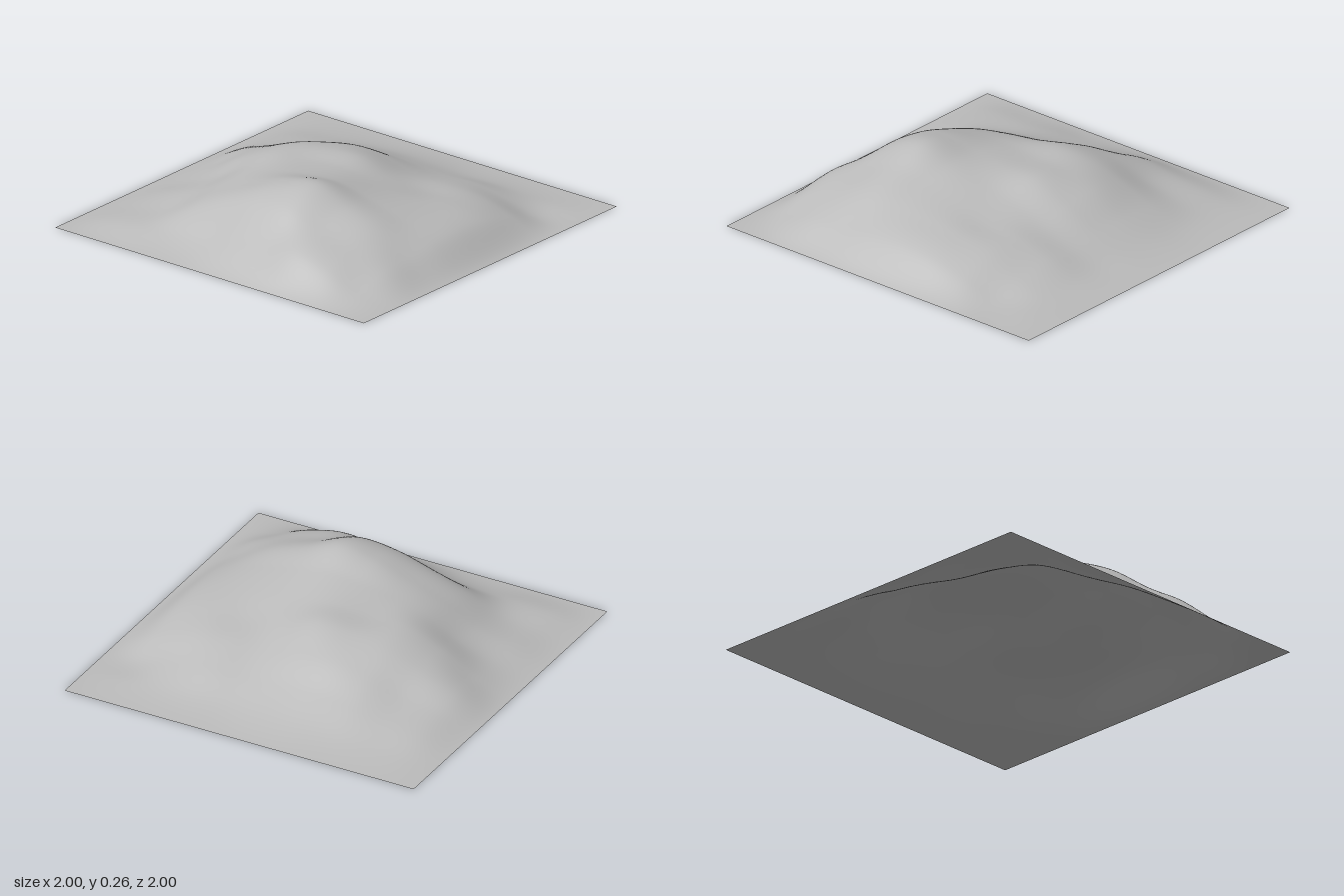
import * as THREE from 'three';

const SIDE = 1.423; // edge length of the square patch
const CELLS = 10;   // control cells per side; the border stays at ground level

// Hill heights in hundredths, inside the border: rows run back to front, columns left to right
const HEIGHTS = [
  [1, 1.5, 2, 2.5, 2.5, 2, 2, 1.5, 0.8],
  [3, 4.5, 7, 8, 7.5, 6.5, 7, 5, 1.5],
  [4.5, 7.5, 12.5, 15, 14, 11, 11, 10, 6],
  [6.5, 12, 17, 18.5, 19, 15, 13, 12.5, 9],
  [5, 12.5, 18, 18.5, 19.5, 18, 16, 14, 10],
  [3.5, 9, 16, 19, 21, 21.5, 18.5, 15, 9.5],
  [3.5, 7.5, 14, 19, 23.5, 25.5, 20.5, 15.5, 8],
  [2.5, 5, 11, 16, 20, 21, 16.5, 12.5, 7],
  [2, 3, 3.5, 5, 8, 10, 11.5, 8.5, 3],
];

const control = (row, col) => (HEIGHTS[row - 1]?.[col - 1] ?? 0) / 100;

// Smooth curve through four neighbouring values
function cubic(a, b, c, d, t) {
  return b + 0.5 * t * (c - a + t * (2 * a - 5 * b + 4 * c - d + t * (3 * (b - c) + d - a)));
}

function heightAt(x, z) {
  const u = THREE.MathUtils.clamp((x / SIDE + 0.5) * CELLS, 0, CELLS);
  const v = THREE.MathUtils.clamp((z / SIDE + 0.5) * CELLS, 0, CELLS);
  const col = Math.min(Math.floor(u), CELLS - 1);
  const row = Math.min(Math.floor(v), CELLS - 1);
  const steps = [-1, 0, 1, 2];
  const across = steps.map((r) => cubic(...steps.map((c) => control(row + r, col + c)), u - col));
  return Math.max(0, cubic(...across, v - row));
}

export function createModel() {
  const model = new THREE.Group();
  model.name = 'terrain';
  const stone = new THREE.MeshStandardMaterial({ color: 0xbbbbbb, side: THREE.DoubleSide });
  stone.name = 'stone grey';

  // Square ground sheet raised into a hill
  const geometry = new THREE.PlaneGeometry(SIDE, SIDE, 100, 100).rotateX(-Math.PI / 2);
  const position = geometry.attributes.position;
  for (let i = 0; i < position.count; i++) {
    position.setY(i, heightAt(position.getX(i), position.getZ(i)));
  }
  geometry.rotateY(-0.895);
  geometry.computeVertexNormals();

  const hill = new THREE.Mesh(geometry, stone);
  hill.name = 'hill';
  model.add(hill);
  return model;
}
